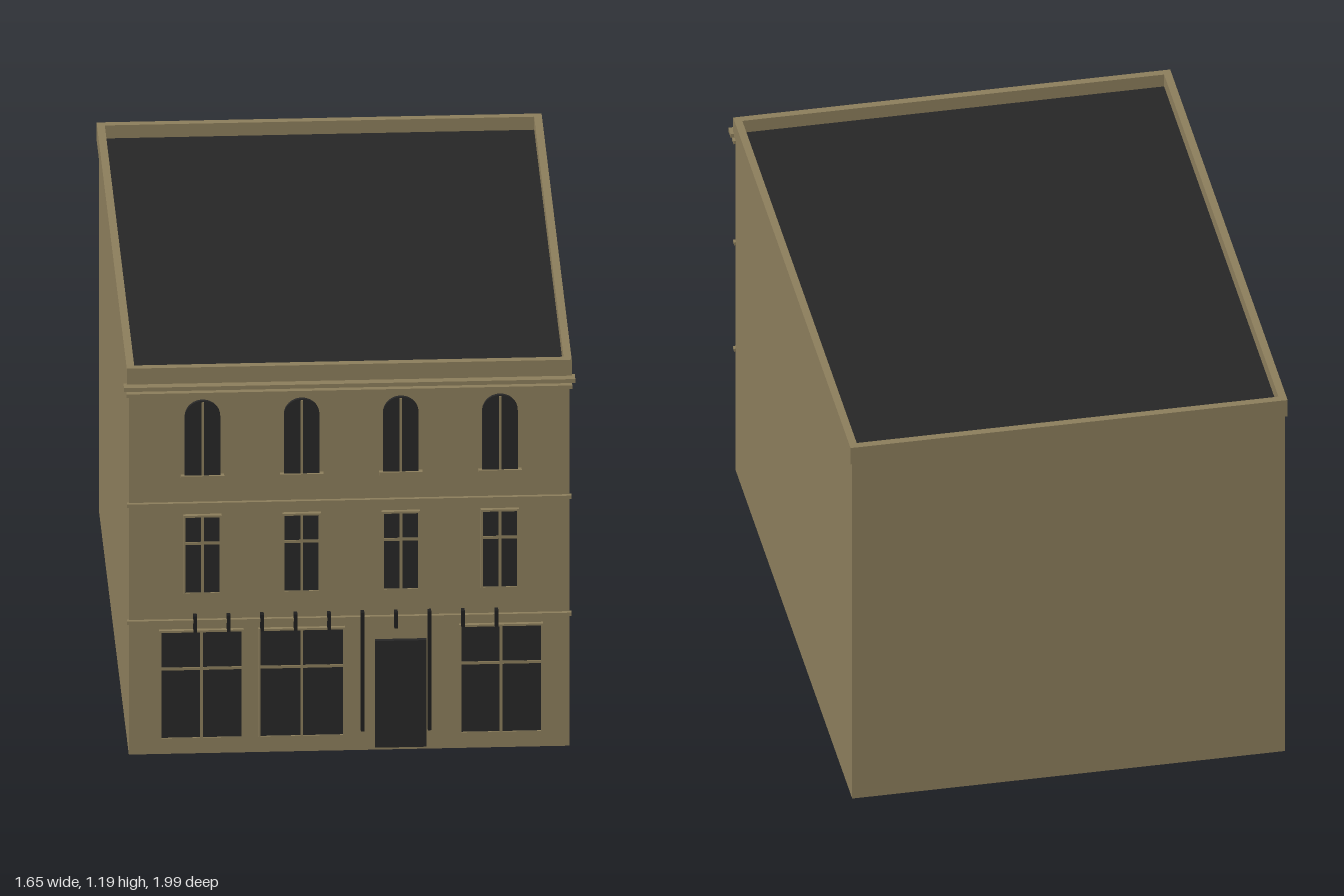
import * as THREE from 'three';

const WIDTH = 1.24, DEPTH = 1.69, TOP = 1.19, FRONT = DEPTH / 2;

const stone = new THREE.MeshStandardMaterial({ name: 'stone', color: 0x8b7d5b });
const slate = new THREE.MeshStandardMaterial({ name: 'dark slate and glass', color: 0x262626 });
const iron = new THREE.MeshStandardMaterial({ name: 'black iron', color: 0x1e1e1e });

function add(parent, name, geometry, material, x = 0, y = 0, z = 0) {
  const mesh = new THREE.Mesh(geometry, material);
  mesh.name = name;
  mesh.position.set(x, y, z);
  parent.add(mesh);
  return mesh;
}

// Box given by centre x, bottom and top heights, and z range
function block(parent, name, material, x, w, y0, y1, z0, z1) {
  return add(parent, name, new THREE.BoxGeometry(w, y1 - y0, z1 - z0), material,
    x, (y0 + y1) / 2, (z0 + z1) / 2);
}

// Part fixed to the facade, standing out from it by "out"
function onFront(parent, name, material, x, w, y0, y1, out) {
  return block(parent, name, material, x, w, y0, y1, FRONT - 0.004, FRONT + out);
}

// Rectangular window with a slim frame, a mullion and a transom
function squareWindow(parent, name, x, w, y0, y1, transomY) {
  const g = new THREE.Group();
  g.name = name;
  parent.add(g);
  onFront(g, 'glass', slate, x, w, y0, y1, 0.008);
  for (const s of [-1, 1]) onFront(g, 'frameSide', stone, x + s * w / 2, 0.006, y0, y1, 0.012);
  onFront(g, 'frameTop', stone, x, w + 0.006, y1 - 0.003, y1 + 0.003, 0.012);
  onFront(g, 'frameBottom', stone, x, w + 0.006, y0 - 0.003, y0 + 0.003, 0.012);
  onFront(g, 'mullion', stone, x, 0.008, y0, y1, 0.011);
  onFront(g, 'transom', stone, x, w, transomY - 0.004, transomY + 0.004, 0.011);
}

// Round-headed window with a sill
function archedWindow(parent, x, w, y0, y1) {
  const g = new THREE.Group();
  g.name = 'archedWindow';
  parent.add(g);
  const r = w / 2;
  const shape = new THREE.Shape();
  shape.moveTo(-r, y0);
  shape.lineTo(r, y0);
  shape.lineTo(r, y1 - r);
  shape.absarc(0, y1 - r, r, 0, Math.PI, false);
  shape.closePath();
  add(g, 'archedGlass',
    new THREE.ExtrudeGeometry(shape, { depth: 0.014, bevelEnabled: false, curveSegments: 12 }),
    slate, x, 0, FRONT - 0.004);
  onFront(g, 'mullion', stone, x, 0.007, y0, y1 - 0.004, 0.012);
  onFront(g, 'sill', stone, x, w + 0.022, y0 - 0.008, y0 + 0.002, 0.016);
}

export function createModel() {
  const model = new THREE.Group();
  model.name = 'terraceBuilding';
  const building = new THREE.Group();
  building.name = 'building';
  building.position.set(-0.0075, 0, -0.012);
  building.rotation.y = 0.253;
  model.add(building);

  // Main block and roof
  block(building, 'walls', stone, 0, WIDTH, 0, 1.14, -FRONT, FRONT);
  block(building, 'roof', slate, 0, WIDTH - 0.02, 1.14, 1.15, -FRONT + 0.01, FRONT - 0.01);

  // Parapet ring, slightly proud of the walls
  const lip = 0.006, thick = 0.022;
  const pw = WIDTH + 2 * lip, pz = FRONT + lip;
  for (const s of [-1, 1]) {
    block(building, 'parapetSide', stone, s * (pw - thick) / 2, thick, 1.135, TOP, -pz, pz);
    const zc = s * (pz - thick / 2);
    block(building, 'parapetEnd', stone, 0, pw - 2 * thick, 1.135, TOP, zc - thick / 2, zc + thick / 2);
  }

  // Cornices and string courses on the facade
  onFront(building, 'topCornice', stone, 0, 1.27, 1.129, 1.141, 0.03);
  onFront(building, 'lowerCornice', stone, 0, 1.254, 1.106, 1.117, 0.02);
  onFront(building, 'upperStringCourse', stone, 0, 1.25, 0.764, 0.774, 0.011);
  onFront(building, 'lowerStringCourse', stone, 0, 1.25, 0.404, 0.414, 0.011);

  // Upper windows, four bays
  for (let i = 0; i < 4; i++) {
    const x = -0.413 + i * 0.279;
    archedWindow(building, x, 0.1, 0.857, 1.088);
    squareWindow(building, 'middleWindow', x, 0.102, 0.495, 0.733, 0.65);
  }

  // Shop windows and door
  for (const [a, b] of [[-0.532, -0.3], [-0.253, -0.015], [0.312, 0.542]])
    squareWindow(building, 'shopWindow', (a + b) / 2, b - a, 0.05, 0.38, 0.265);
  onFront(building, 'door', slate, 0.145, 0.145, 0.012, 0.34, 0.014);

  // Iron brackets above the shopfront; the pair beside the door run down as posts
  for (let i = 0; i < 10; i++) {
    const isPost = i === 5 || i === 7;
    onFront(building, isPost ? 'doorPost' : 'bracket', iron,
      -0.434 + i * 0.0942, 0.01, isPost ? 0.065 : 0.38, 0.43, 0.02);
  }
  return model;
}
